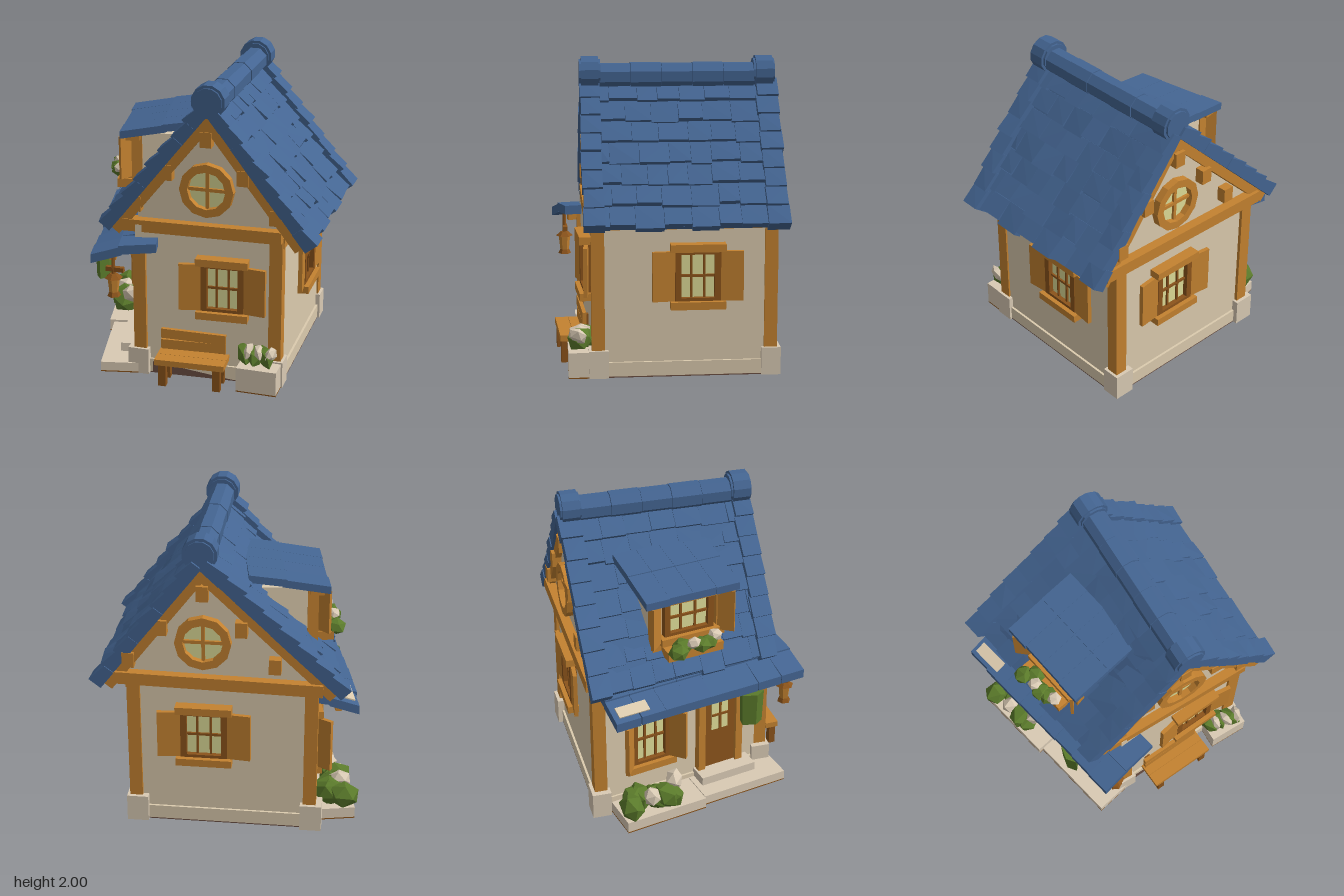
import * as THREE from 'three';
import { mergeGeometries } from 'three/addons/utils/BufferGeometryUtils.js';
import { ConvexGeometry } from 'three/addons/geometries/ConvexGeometry.js';

const mat = (name, color) => {
  const m = new THREE.MeshStandardMaterial({ color, flatShading: true });
  m.name = name;
  return m;
};
const V = (x, y, z) => new THREE.Vector3(x, y, z);
const lerp = THREE.MathUtils.lerp;

export function createModel() {
  const M = {
    wall: mat('plaster', 0xdccbae), roof: mat('roofBlue', 0x446592), wood: mat('wood', 0xc48230),
    dark: mat('darkWood', 0x8c541b), glass: mat('paleGlass', 0xdfdd98), green: mat('leaves', 0x5b7b2b),
    stone: mat('stone', 0xd9cab4), floor: mat('floorBrown', 0x6c5044),
  };
  const root = new THREE.Group();
  let seed = 7;
  const rnd = (a = 1) => {
    seed = (seed * 16807) % 2147483647;
    return (seed / 2147483647 - 0.5) * 2 * a;
  };
  const add = (parent, name, geo, material) => {
    const m = new THREE.Mesh(geo, material);
    m.name = name;
    parent.add(m);
    return m;
  };
  const group = (parent, name, x, y, z, ry = 0) => {
    const g = new THREE.Group();
    g.name = name;
    g.position.set(x, y, z);
    g.rotation.y = ry;
    parent.add(g);
    return g;
  };
  // box given by its limits
  const box = (p, name, m, x0, x1, y0, y1, z0, z1) => {
    const b = add(p, name, new THREE.BoxGeometry(x1 - x0, y1 - y0, z1 - z0), m);
    b.position.set((x0 + x1) / 2, (y0 + y1) / 2, (z0 + z1) / 2);
    return b;
  };
  // stone block standing on a thin brown base
  const block = (p, name, x0, x1, h, z0, z1) => {
    box(p, name, M.stone, x0, x1, 0.008, h, z0, z1);
    box(p, name + 'Base', M.dark, x0, x1, 0, 0.008, z0, z1);
  };
  // clump of faceted leaves and blossoms
  const bush = (p, x, y, z, w, h, d, n, bloom) => {
    const g = group(p, 'bush', x, y, z);
    for (let i = 0; i < n; i++) {
      const pale = i % bloom === bloom - 1, s = pale ? 0.72 : 1;
      const b = add(g, pale ? 'blossom' : 'leafClump', new THREE.IcosahedronGeometry(1, 0), pale ? M.stone : M.green);
      b.position.set(((i + 0.5) / n - 0.5) * w * 0.85, h * (pale ? 0.68 : 0.4) + rnd(h * 0.1), rnd(d * 0.22));
      b.scale.set(w * 0.18 * s, h * 0.5 * s, d * 0.42 * s);
      b.rotation.set(rnd(0.35), rnd(0.5), rnd(0.35));
    }
  };

  // house body: front wall skewed forward on its left, left wall running outward to the back
  const F = 0.48, B = -0.66, R = 0.61, LF = -0.34, LB = -0.58, SKEW = 0.065;
  const prism = (grow, y0, y1, skew = SKEW) => [y0, y1].flatMap(y => [
    V(LF - grow, y, F + skew + grow), V(R + grow, y, F + grow), V(R + grow, y, B - grow), V(LB - grow, y, B - grow)]);
  add(root, 'walls', new ConvexGeometry(prism(0, 0.01, 1.04)), M.wall);
  add(root, 'gableWalls', new ConvexGeometry([...prism(0, 0.95, 1.13, 0), V(0.13, 1.78, F), V(0.13, 1.78, B)]), M.wall);
  add(root, 'plinth', new ConvexGeometry(prism(0.015, 0.008, 0.1)), M.wall);
  add(root, 'floor', new ConvexGeometry(prism(0.014, 0, 0.007)), M.floor);
  for (const [x, z] of [[LF + 0.03, F + SKEW - 0.02], [R - 0.03, F - 0.02], [R - 0.03, B + 0.02], [LB + 0.03, B + 0.02]]) {
    box(root, 'cornerPost', M.wood, x - 0.042, x + 0.042, 0.15, x === LF + 0.03 ? 0.95 : 1.02, z - 0.042, z + 0.042);
    box(root, 'cornerStone', M.stone, x - 0.08, x + 0.06, 0, 0.18, z - 0.065, z + 0.06);
  }
  box(root, 'sideBeam', M.wood, R - 0.04, R + 0.02, 0.96, 1.03, B, F);

  // roof surface: t runs from ridge to eave, h is height above it
  const P = (side, t, z, h) => {
    const ex = side > 0 ? 0.78 : lerp(-0.52, -0.73, (0.55 - z) / 1.25);
    const n = V(side * 0.83, Math.abs(ex - 0.14), 0).normalize();
    return V(lerp(0.14, ex, t), lerp(1.82, 0.99, t), z).addScaledVector(n, h);
  };
  const roofBlock = (s, t0, t1, z0, z1, lo, hi0, hi1) => new ConvexGeometry([
    P(s, t0, z0, lo), P(s, t0, z1, lo), P(s, t1, z0, lo), P(s, t1, z1, lo),
    P(s, t0, z0, hi0), P(s, t0, z1, hi0), P(s, t1, z0, hi1), P(s, t1, z1, hi1 + rnd(0.008))]);
  const ROWS = 7;
  for (const s of [1, -1]) {
    const side = s > 0 ? 'right' : 'left', tiles = [roofBlock(s, 0, 0.99, -0.66, 0.52, -0.015, 0.02, 0.02)];
    for (let r = 0; r < ROWS; r++) {
      let z = -0.6;
      while (z < 0.44) {
        const z1 = z > 0.3 ? 0.46 : z + 0.16 + rnd(0.035);
        tiles.push(roofBlock(s, r / ROWS, (r + 1) / ROWS + rnd(0.014), z, z1 - 0.002, 0, 0.03, 0.054 + rnd(0.01)));
        z = z1;
      }
    }
    // thicker tiles along both gables
    for (const [z0, z1] of [[0.425, 0.55], [-0.72, -0.585]])
      for (let r = 0; r < 8; r++)
        tiles.push(roofBlock(s, r / 8, (r + 1) / 8 + 0.008, z0 + rnd(0.006), z1 + rnd(0.006), -0.01, 0.064, 0.088 + rnd(0.006)));
    add(root, side + 'RoofTiles', mergeGeometries(tiles), M.roof);
    for (const [z0, z1] of [[0.46, 0.535], [-0.7, -0.62]])
      add(root, side + 'Bargeboard', roofBlock(s, 0.01, 0.98, z0, z1, -0.072, 0, 0), M.wood);
  }
  // ridge tiles and end caps
  const ridge = (name, z0, z1, r, y, sides) => {
    const g = new THREE.CylinderGeometry(r, r, z1 - z0, sides).rotateY(Math.PI / sides).rotateX(Math.PI / 2);
    add(root, name, g, M.roof).position.set(0.145, y, (z0 + z1) / 2);
  };
  for (let i = 0; i < 5; i++) ridge('ridgeTile', -0.575 + i * 0.2, -0.378 + i * 0.2, 0.086 + (i % 2) * 0.004, 1.875, 8);
  for (const [name, z] of [['frontRidgeCap', 0.485], ['backRidgeCap', -0.64]]) {
    ridge(name, z - 0.055, z + 0.055, 0.11, 1.894, 12);
    ridge(name + 'Core', z - 0.068, z + 0.068, 0.092, 1.894, 12);
  }

  // casement window facing +z with lintel, sill and shutters
  const casement = (p, x, y, z, ry, w, h, sw, open) => {
    const g = group(p, 'window', x, y, z, ry), a = w / 2, b = h / 2;
    box(g, 'glass', M.glass, -a, a, -b, b, 0.004, 0.012);
    for (const s of [-1, 1]) {
      box(g, 'jamb', M.dark, s * a - 0.02, s * a + 0.02, -b, b, 0, 0.045);
      box(g, 'rail', M.dark, -a, a, s * b - 0.02, s * b + 0.02, 0, 0.045);
      box(g, 'mullion', M.dark, s * a * 0.33 - 0.007, s * a * 0.33 + 0.007, -b, b, 0, 0.025);
      box(g, s > 0 ? 'lintel' : 'sill', M.wood, -a - 0.05, a + 0.05, s * (b + 0.025) - 0.025, s * (b + 0.025) + 0.025, 0, 0.075);
      if (sw) {
        const k = group(g, 'shutter', s * (a + 0.01), 0, 0.025, -s * open);
        box(k, 'shutterPanel', M.wood, s > 0 ? 0 : -sw, s > 0 ? sw : 0, -b, b, -0.012, 0.015);
      }
    }
    box(g, 'crossbar', M.dark, -a, a, -0.008, 0.008, 0, 0.025);
  };
  casement(root, R, 0.66, -0.17, Math.PI / 2, 0.25, 0.32, 0.155, 0.1);
  casement(root, 0.13, 0.66, B, Math.PI, 0.26, 0.32, 0.16, 0.1);
  // front wall fittings, with a bare wedge at its foot
  const front = group(root, 'frontWall', LF, 0, F + SKEW, 0.068);
  casement(front, 0.58, 0.66, 0, 0, 0.24, 0.32, 0.155, 0.15);
  const wedge = new THREE.Shape([[0.11, 0.008], [0.66, 0.008], [0.11, 0.085]].map(p => new THREE.Vector2(...p)));
  add(front, 'bareWedge', new THREE.ShapeGeometry(wedge), M.floor).position.z = 0.02;

  // gable fittings, front and back
  for (const [z, ry] of [[F, 0], [B, Math.PI]]) {
    const g = group(root, ry ? 'backGable' : 'frontGable', 0.13, 0, z, ry), f = ry ? -1 : 1;
    const lo = f > 0 ? -0.56 : -0.6, hi = f > 0 ? 0.49 : 0.75;
    box(g, 'gableBeam', M.wood, lo, hi, 1.0, 1.08, -0.02, 0.062).rotation.z = 0.02 * f;
    const rw = group(g, 'roundWindow', 0, 1.31, 0);
    const rim = new THREE.Shape().absarc(0, 0, 0.178, 0, Math.PI * 2);
    rim.holes.push(new THREE.Path().absarc(0, 0, 0.125, 0, Math.PI * 2));
    add(rw, 'roundFrame', new THREE.ExtrudeGeometry(rim, { depth: 0.05, curveSegments: 6, bevelEnabled: false }), M.wood);
    add(rw, 'roundGlass', new THREE.CircleGeometry(0.135, 12), M.glass).position.z = 0.008;
    box(rw, 'crossbar', M.wood, -0.13, 0.13, -0.011, 0.011, 0, 0.025);
    box(rw, 'mullion', M.wood, -0.011, 0.011, -0.13, 0.13, 0, 0.025);
    for (const [x, y] of [[0, 1.65], [-0.26, 1.41], [0.24, 1.42], [-0.47, 1.18], [0.45, 1.18]])
      box(g, 'purlinEnd', M.wood, x - 0.038, x + 0.038, y - 0.05, y + 0.05, -0.02, 0.062);
  }

  // left side: local x runs to the front, local z points out of the wall
  const L = group(root, 'leftSide', -0.465, 0, -0.09, -1.362);
  casement(L, -0.21, 0.51, 0, 0, 0.24, 0.36, 0.13, 0.85);
  const door = group(L, 'door', 0.3, 0.12, 0);
  box(door, 'doorPanel', M.dark, -0.12, 0.12, 0, 0.64, 0, 0.03);
  box(door, 'doorGlass', M.glass, -0.06, 0.06, 0.3, 0.54, 0.03, 0.036);
  box(door, 'doorMullion', M.dark, -0.008, 0.008, 0.3, 0.54, 0.03, 0.045);
  box(door, 'doorCrossbar', M.dark, -0.06, 0.06, 0.41, 0.425, 0.03, 0.045);
  for (const s of [-1, 1]) box(door, 'doorJamb', M.wood, s * 0.14 - 0.025, s * 0.14 + 0.025, 0, 0.66, 0, 0.055);
  box(door, 'doorLintel', M.wood, -0.18, 0.18, 0.64, 0.7, 0, 0.07);
  block(L, 'upperStep', 0.12, 0.52, 0.13, 0, 0.14);
  block(L, 'lowerStep', 0.08, 0.69, 0.07, 0, 0.25);
  block(L, 'leftPlanter', -0.5, 0.07, 0.08, 0.03, 0.28);
  bush(L, -0.27, 0.07, 0.17, 0.46, 0.18, 0.26, 8, 4);

  // tiled awning over door and window, wrapping past the front corner
  const tilePair = (u0, u1, rows) => rows.map(([w0, w1, y0, y1, thick]) => new ConvexGeometry([u0, u1].flatMap(u => [
    V(u, y0, w0), V(u, y1, w1), V(u, y0 - thick, w0), V(u, y1 - thick, w1)])));
  const awning = [];
  for (let i = 0; i < 8; i++) {
    const u0 = -0.56 + i * 0.168, e = rnd(0.01);
    awning.push(...tilePair(u0, u0 + 0.167, [[i > 6 ? -0.14 : 0, 0.1, 0.965, 0.945, 0.06], [0.08, 0.275 + e, 0.94, 0.875 + e, 0.06]]));
  }
  add(L, 'awningTiles', mergeGeometries(awning), M.roof);
  box(L, 'awningBeam', M.wood, -0.5, 0.7, 0.81, 0.86, 0.13, 0.17);
  box(L, 'awningPatch', M.wall, -0.53, -0.32, 0.905, 0.914, 0.17, 0.25).rotation.x = 0.33;
  // trailing plant and lantern under the awning
  const vine = add(root, 'hangingPlant', new THREE.CylinderGeometry(0.05, 0.045, 0.23, 5), M.green);
  vine.position.set(-0.63, 0.69, 0.36);
  vine.scale.z = 1.7;
  const lamp = group(root, 'lantern', -0.455, 0, 0.65);
  for (const [name, m, y, r0, r1, h] of [['lanternBase', M.dark, 0.59, 0.03, 0.045, 0.03], ['lanternBody', M.wood, 0.65, 0.04, 0.03, 0.1],
    ['lanternCap', M.dark, 0.715, 0.025, 0.06, 0.03], ['lanternHook', M.dark, 0.8, 0.012, 0.012, 0.15]])
    add(lamp, name, new THREE.CylinderGeometry(r0, r1, h, 6), m).position.y = y;
  box(lamp, 'lanternArm', M.dark, -0.05, 0.07, 0.745, 0.775, -0.02, 0.01);

  // dormer on the left roof slope
  const D = group(root, 'dormer', -0.505, 0, -0.03, -1.4);
  box(D, 'dormerWalls', M.wall, -0.24, 0.24, 1.1, 1.54, -0.4, -0.03);
  casement(D, 0, 1.38, -0.03, 0, 0.3, 0.24, 0, 0);
  for (const s of [-1, 1]) {
    box(D, 'dormerPost', M.wood, s * 0.22 - 0.03, s * 0.22 + 0.03, 1.14, 1.54, -0.06, 0.01);
    const k = group(D, 'dormerShutter', s * 0.2, 1.38, 0.01, -s * 0.7);
    box(k, 'shutterPanel', M.wood, s > 0 ? 0 : -0.11, s > 0 ? 0.11 : 0, -0.15, 0.14, -0.01, 0.01);
  }
  box(D, 'dormerBeam', M.wood, -0.29, 0.29, 1.5, 1.55, -0.05, 0.04);
  box(D, 'flowerBox', M.wood, -0.19, 0.19, 1.14, 1.2, 0, 0.12);
  bush(D, 0, 1.18, 0.12, 0.38, 0.1, 0.16, 6, 3);
  const dormerTiles = [];
  for (let i = 0; i < 4; i++) {
    const u0 = -0.32 + i * 0.16, e = rnd(0.01);
    dormerTiles.push(...tilePair(u0, u0 + 0.159, [[-0.44, -0.2, 1.66, 1.625, 0.05], [-0.23, 0.075 + e, 1.625, 1.57, 0.05]]));
  }
  add(D, 'dormerTiles', mergeGeometries(dormerTiles), M.roof);

  // bench
  const bench = group(root, 'bench', 0.06, 0, 0.622, 0.065);
  for (const z of [-0.045, 0.045]) box(bench, 'seatPlank', M.wood, -0.23, 0.23, 0.15, 0.19, z - 0.044, z + 0.044);
  for (const y of [0.235, 0.305]) {
    const k = box(bench, 'backPlank', M.wood, -0.22, 0.21, y - 0.033, y + 0.033, -0.085, -0.06);
    k.rotation.z = y > 0.3 ? -0.02 : 0.01;
  }
  for (const x of [-0.18, 0.18]) {
    for (const z of [-0.06, 0.06]) box(bench, 'benchLeg', M.dark, x - 0.025, x + 0.025, 0, 0.15, z - 0.022, z + 0.022);
    box(bench, 'backSupport', M.dark, x - 0.02, x + 0.02, 0.15, 0.32, -0.1, -0.085);
  }

  // front planter
  block(root, 'frontPlanter', 0.365, 0.63, 0.17, 0.48, 0.65);
  bush(root, 0.485, 0.16, 0.58, 0.27, 0.16, 0.22, 6, 2);
  return root;
}
